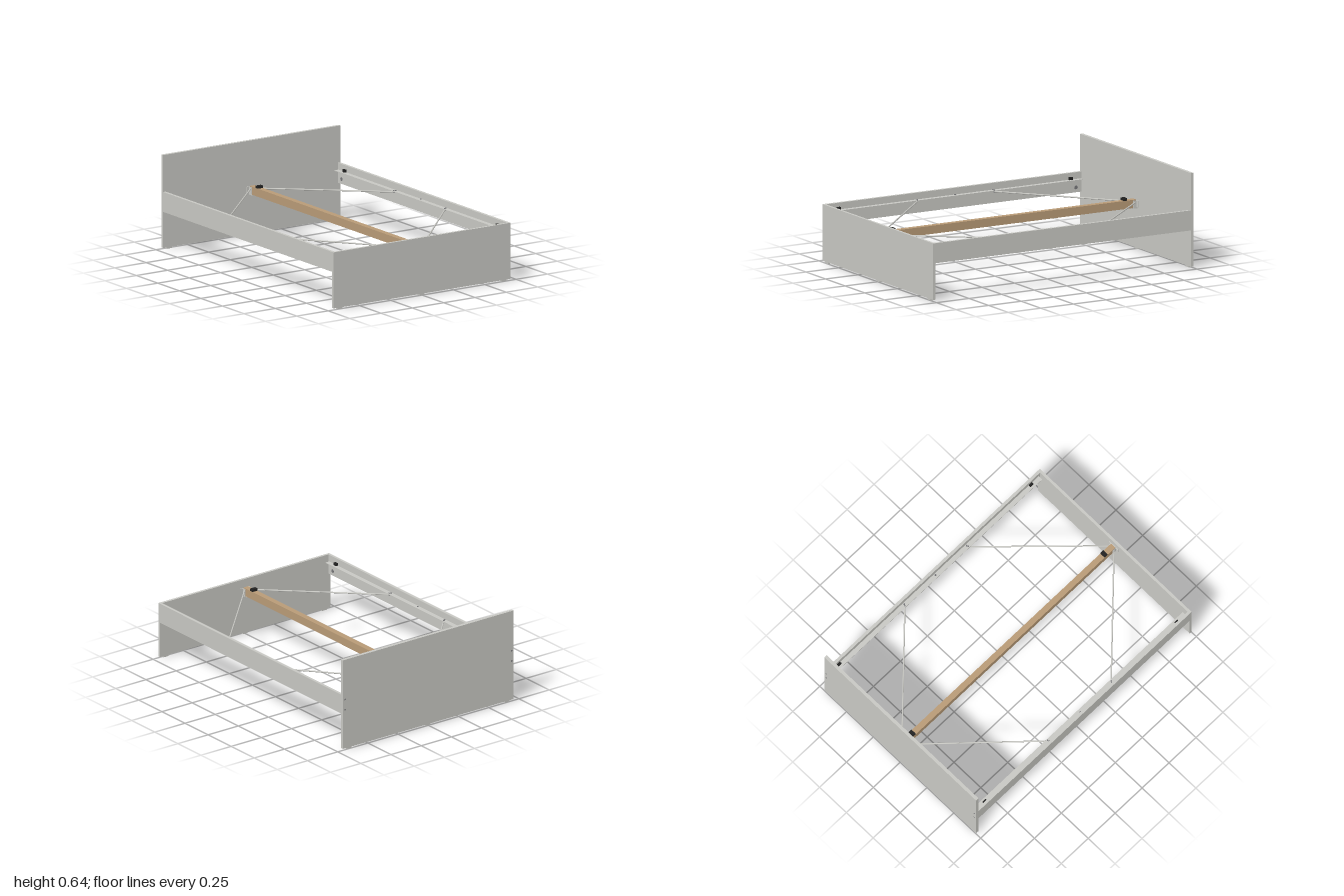
import * as THREE from 'three';

export function createModel() {
  const bed = new THREE.Group();
  bed.name = 'bedFrame';

  const mat = (name, color) => {
    const m = new THREE.MeshStandardMaterial({ color });
    m.name = name;
    return m;
  };
  const panel = mat('grey panel', 0xc8c8c3);
  const wood = mat('beam wood', 0xb99b77);
  const black = mat('black plastic', 0x222222);
  const steel = mat('dark steel', 0x77777a);

  const add = (name, geometry, material, x, y, z) => {
    const mesh = new THREE.Mesh(geometry, material);
    mesh.name = name;
    mesh.position.set(x, y, z);
    bed.add(mesh);
    return mesh;
  };
  // Box given by its limits on each axis
  const box = (name, material, x0, x1, y0, y1, z0, z1) =>
    add(name, new THREE.BoxGeometry(Math.abs(x1 - x0), y1 - y0, Math.abs(z1 - z0)), material,
      (x0 + x1) / 2, (y0 + y1) / 2, (z0 + z1) / 2);
  // Round rod between two points
  const rod = (name, material, a, b, radius) => {
    const dir = b.clone().sub(a);
    const mid = a.clone().add(b).multiplyScalar(0.5);
    const mesh = add(name, new THREE.CylinderGeometry(radius, radius, dir.length(), 10), material, mid.x, mid.y, mid.z);
    mesh.quaternion.setFromUnitVectors(new THREE.Vector3(0, 1, 0), dir.normalize());
    return mesh;
  };
  const v = (x, y, z) => new THREE.Vector3(x, y, z);

  // End panels
  box('headboard', panel, -0.707, 0.707, 0.01, 0.64, -1, -0.978);
  box('footboard', panel, -0.707, 0.707, 0.01, 0.39, 0.982, 1);

  // Feet under both panels
  for (const z of [-0.989, 0.991])
    for (const x of [-0.655, 0, 0.655])
      box('foot', panel, x - 0.02, x + 0.02, 0, 0.01, z - 0.008, z + 0.008);

  // Centre beam
  box('centreBeam', wood, -0.02, 0.02, 0.28, 0.335, -0.972, 0.976);

  for (const s of [-1, 1]) {
    // Side rail with angled slat ledge
    box('sideRail', panel, s * 0.687, s * 0.707, 0.255, 0.39, -0.978, 0.982);
    box('slatLedge', panel, s * 0.655, s * 0.683, 0.341, 0.345, -0.97, 0.97);
    box('ledgeFlange', panel, s * 0.683, s * 0.687, 0.312, 0.345, -0.97, 0.97);

    // Ledge screws
    for (const z of [-0.29, 0, 0.29])
      rod('ledgeScrew', steel, v(s * 0.676, 0.345, z), v(s * 0.676, 0.349, z), 0.006);

    // Bolt caps on the back of the headboard
    for (const y of [0.285, 0.358])
      rod('headboardBolt', steel, v(s * 0.69, y, -1.001), v(s * 0.69, y, -0.999), 0.006);

    for (const e of [-1, 1]) {
      // Slat clips on the ledge
      box('ledgeClip', black, s * 0.671, s * 0.686, 0.345, 0.363, e * 0.89 - 0.013, e * 0.89 + 0.013);
      // Rail connector
      rod('railConnector', steel, v(s * 0.687, 0.288, e * 0.935), v(s * 0.685, 0.288, e * 0.935), 0.013);
      // Diagonal brace with its hooked end
      rod('diagonalBrace', panel, v(s * 0.022, 0.315, e * 0.962), v(s * 0.665, 0.337, e * 0.295), 0.005);
      rod('bracePin', steel, v(s * 0.665, 0.332, e * 0.295), v(s * 0.665, 0.348, e * 0.295), 0.005);
    }
  }

  // Beam brackets and slat clips at both ends
  for (const e of [-1, 1]) {
    const face = e < 0 ? -0.978 : 0.982;
    box('beamBracket', panel, -0.042, 0.042, 0.285, 0.33, face, face - e * 0.005);
    box('beamRest', panel, -0.022, 0.022, 0.276, 0.28, face, face - e * 0.04);
    for (const s of [-1, 1])
      box('bracketCheek', panel, s * 0.02, s * 0.024, 0.276, 0.33, face, face - e * 0.03);
    box('beamClip', black, -0.02, 0.02, 0.335, 0.352, e * 0.89 - 0.013, e * 0.89 + 0.013);
  }

  return bed;
}
